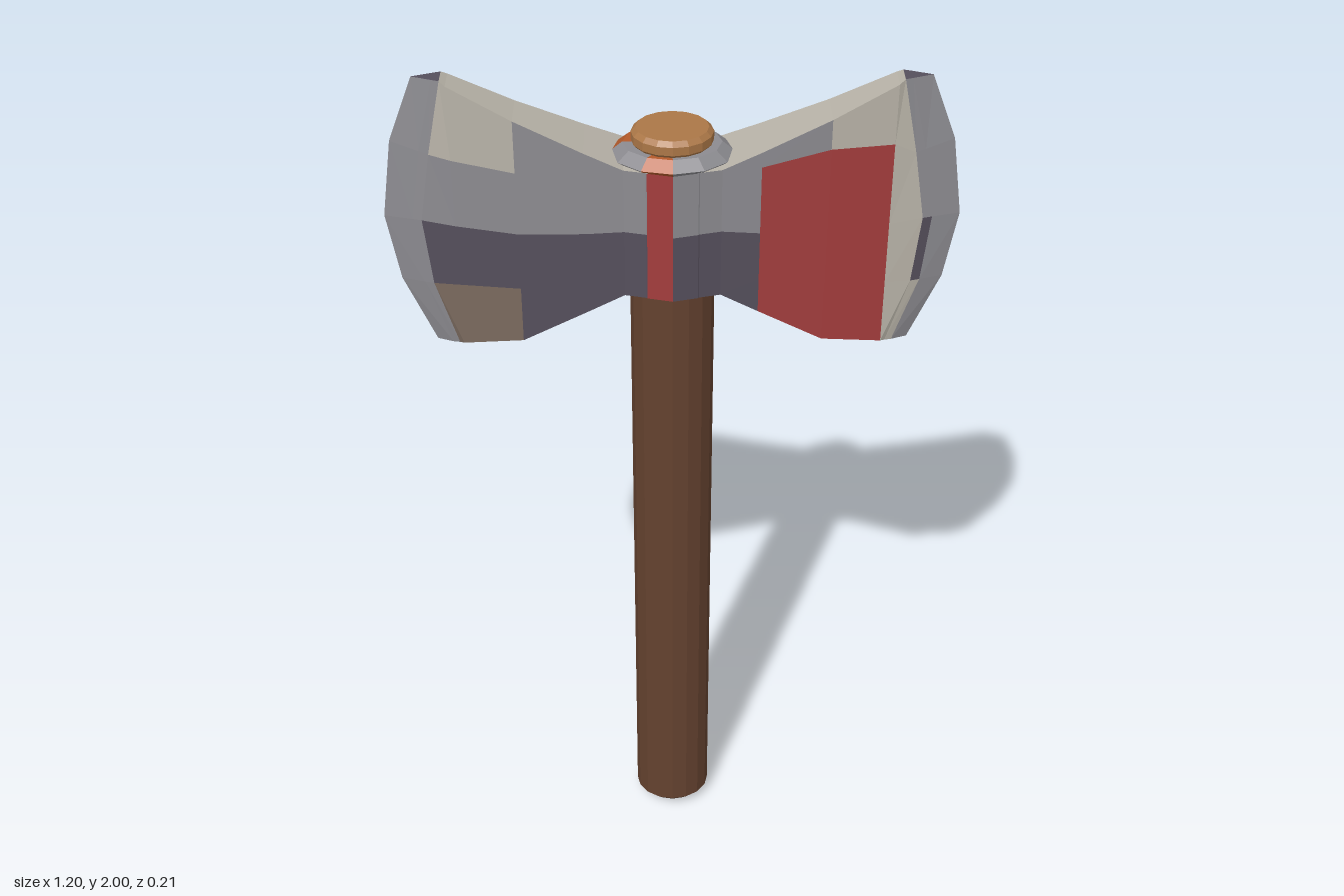
import * as THREE from 'three';

const mat = (name, color) => {
  const m = new THREE.MeshStandardMaterial({ color });
  m.name = name;
  return m;
};

export function createModel() {
  const M = {
    steel: mat('steel', 0x8c8b90),
    dark: mat('darkSteel', 0x554f5c),
    light: mat('paleSteel', 0xb8b3a8),
    brown: mat('tarnish', 0x7a6a5e),
    red: mat('redPaint', 0xa33d3d),
    orange: mat('rust', 0xb45a2a),
    wood: mat('wood', 0x64422f),
    cap: mat('cutWood', 0xab7747),
    base: mat('buttDark', 0x3a3642),
  };
  const axe = new THREE.Group();
  axe.name = 'doubleAxe';

  // Faceted mesh: every face gets its own normal
  const add = (parent, name, geo, material) => {
    const g = geo.index ? geo.toNonIndexed() : geo;
    g.computeVertexNormals();
    const mesh = new THREE.Mesh(g, material);
    mesh.name = name;
    parent.add(mesh);
    return mesh;
  };
  const lathe = (pts, seg, start = 0, len = Math.PI * 2, sx = 1, sz = 1) =>
    new THREE.LatheGeometry(pts.map(p => new THREE.Vector2(...p)), seg, start, len).scale(sx, 1, sz);

  // Handle with a chamfered butt and a cut end on top
  add(axe, 'handle', lathe([[0.065, 0.01], [0.09, 0.035], [0.09, 1.84]], 16, 0, Math.PI * 2, 1, 0.88), M.wood);
  add(axe, 'handleButt', lathe([[0, 0], [0.05, 0], [0.065, 0.01]], 16, 0, Math.PI * 2, 1, 0.88), M.base);
  add(axe, 'handleTop',
    lathe([[0.065, 1.84], [0.085, 1.862], [0.085, 1.88], [0.075, 1.89], [0, 1.89]], 16, 0, Math.PI * 2, 1, 0.93), M.cap);

  const head = new THREE.Group();
  head.name = 'head';
  axe.add(head);

  // Collar: facets of a twelve-sided tube, two of them painted as stripes
  const step = Math.PI / 6;
  for (const [first, count, painted] of [[-1, 1, true], [0, 5, false], [5, 1, true], [6, 5, false]]) {
    for (const [y0, y1, m] of [[1.54, 1.69, M.dark], [1.69, 1.83, M.steel]]) {
      add(head, painted ? 'collarStripe' : 'collar',
        lathe([[0.105, y0], [0.105, y1]], count, first * step, count * step), painted ? M.red : m);
    }
  }
  add(head, 'collarUnderside', new THREE.CircleGeometry(0.105, 12).rotateX(Math.PI / 2).translate(0, 1.54, 0), M.dark);

  // Bevelled rim on the collar, partly rusted
  const rim = [[0.08, 1.81], [0.105, 1.835], [0.084, 1.856], [0, 1.856]];
  for (const [first, count, m] of [[-1, 1, M.orange], [0, 6, M.steel], [6, 3, M.orange], [9, 2, M.steel]]) {
    add(head, 'collarRim', lathe(rim, count, first * step, count * step, 1.22, 1), m);
  }

  // Blade cross-sections from collar to cutting edge: x and y per row, half thickness
  const row = x => [x, x, x, x, x];
  const sections = [
    { x: row(0.05), y: [1.54, 1.6, 1.69, 1.76, 1.83], z: 0.09 },
    { x: row(0.1), y: [1.54, 1.6, 1.69, 1.77, 1.83], z: 0.077 },
    { x: row(0.18), y: [1.493, 1.57, 1.68, 1.8, 1.863], z: 0.067 },
    { x: row(0.32), y: [1.412, 1.54, 1.67, 1.81, 1.925], z: 0.049 },
    { x: row(0.45), y: [1.395, 1.54, 1.68, 1.83, 1.992], z: 0.031 },
    { x: [0.46, 0.505, 0.52, 0.495, 0.462], y: [1.392, 1.54, 1.69, 1.84, 2], z: 0.023 },
    { x: [0.475, 0.525, 0.54, 0.515, 0.478], y: [1.39, 1.54, 1.69, 1.845, 2], z: 0.017 },
    { x: [0.51, 0.575, 0.6, 0.575, 0.52], y: [1.388, 1.54, 1.69, 1.86, 2], z: 0 },
  ];

  // Colour of a cheek cell by blade, column and row
  const cheek = (side, c, r) => {
    if (side > 0) {
      if ((c === 2 || c === 3) && r < 3) return 'red';
      if (c === 4 || (c === 3 && r === 3)) return 'light';
      if (c === 5 && r === 1) return 'dark';
      if (c === 5 && r === 0) return 'light';
    } else if (c === 3 || c === 4) {
      return ['brown', 'dark', 'steel', 'light'][r];
    }
    return c < 3 && r < 2 ? 'dark' : 'steel';
  };

  for (const side of [1, -1]) {
    const faces = {};
    const point = (c, r, f) => {
      const s = sections[c];
      let y = s.y[r];
      // The paint on this blade reaches a little higher
      if (side > 0 && r === 3 && c > 1 && c < 5) y = [1.83, 1.86, 1.862][c - 2];
      return [side * s.x[r], y, f * s.z];
    };
    const quad = (color, flip, a, b, c, d) => {
      const list = (faces[color] ??= []);
      for (const t of flip ? [a, c, b, a, d, c] : [a, b, c, a, c, d]) list.push(...t);
    };
    for (let c = 0; c < sections.length - 1; c++) {
      // Front and back cheeks
      for (const f of [1, -1]) {
        for (let r = 0; r < 4; r++) {
          quad(cheek(side, c, r), side * f < 0,
            point(c, r, f), point(c + 1, r, f), point(c + 1, r + 1, f), point(c, r + 1, f));
        }
      }
      // Top and bottom ridges
      for (const [r, flip, color] of [[4, side < 0, 'light'], [0, side > 0, 'brown']]) {
        quad(c > 4 ? 'dark' : color, flip,
          point(c, r, 1), point(c + 1, r, 1), point(c + 1, r, -1), point(c, r, -1));
      }
    }
    const blade = new THREE.Group();
    blade.name = side > 0 ? 'leftBlade' : 'rightBlade';
    head.add(blade);
    for (const [color, list] of Object.entries(faces)) {
      const g = new THREE.BufferGeometry();
      g.setAttribute('position', new THREE.Float32BufferAttribute(list, 3));
      add(blade, `${color}BladeFaces`, g, M[color]);
    }
  }
  return axe;
}
